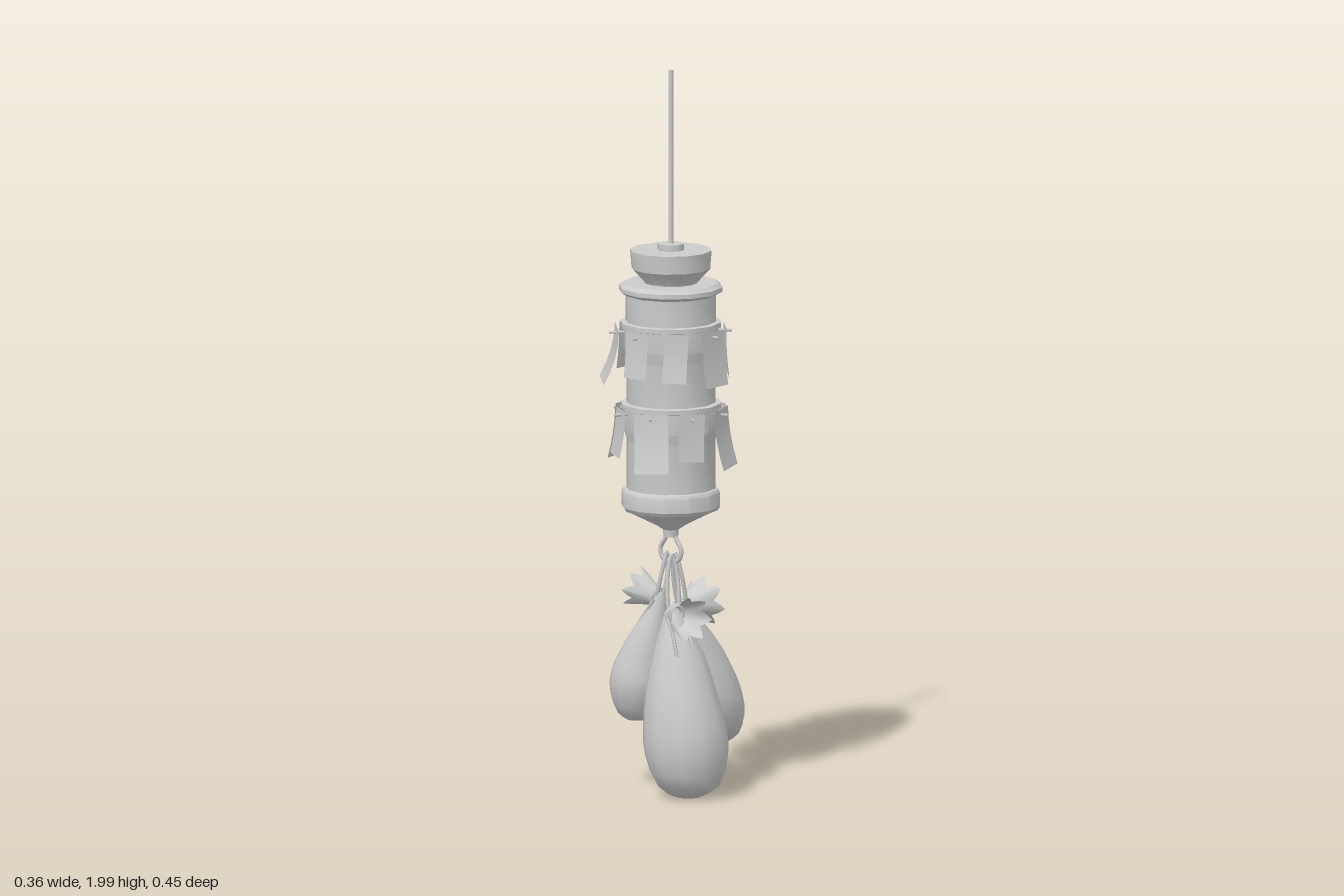
import * as THREE from 'three';
import { toCreasedNormals } from 'three/addons/utils/BufferGeometryUtils.js';

const AXIS_Z = 0.05; // the lantern-shaped body hangs a little forward of centre
const mat = new THREE.MeshStandardMaterial({ color: 0xcccccc });
const thin = new THREE.MeshStandardMaterial({ color: 0xcccccc, side: THREE.DoubleSide });
const vec = (a) => new THREE.Vector3(...a);

function add(parent, name, geometry, material = mat) {
  const mesh = new THREE.Mesh(geometry, material);
  mesh.name = name;
  parent.add(mesh);
  return mesh;
}

// profile points run from bottom to top as [radius, y]
function lathe(points, sides = 12) {
  const g = new THREE.LatheGeometry(points.map((p) => new THREE.Vector2(...p)), sides);
  return toCreasedNormals(g, 0.56);
}

function rope(points, radius, closed = false, segments = 16) {
  const curve = new THREE.CatmullRomCurve3(points.map(vec), closed, 'centripetal');
  return new THREE.TubeGeometry(curve, segments, radius, 6, closed);
}

// rings are [y, radius, centreX, centreZ] from bottom to top
function sack(rings) {
  const curve = new THREE.SplineCurve(rings.map(([y, r]) => new THREE.Vector2(r, y)));
  const profile = [new THREE.Vector2(0, rings[0][0]), ...curve.getPoints(14)];
  const g = new THREE.LatheGeometry(profile, 12);
  const p = g.attributes.position;
  for (let i = 0; i < p.count; i++) {
    const y = p.getY(i);
    let k = 0;
    while (k < rings.length - 2 && y > rings[k + 1][0]) k++;
    const [a, b] = [rings[k], rings[k + 1]];
    const t = THREE.MathUtils.clamp((y - a[0]) / (b[0] - a[0]), 0, 1);
    p.setX(i, p.getX(i) + THREE.MathUtils.lerp(a[2], b[2], t));
    p.setZ(i, p.getZ(i) + THREE.MathUtils.lerp(a[3], b[3], t));
  }
  return toCreasedNormals(g, 1.2);
}

// pleated cloth collar opening along +y
function frill(length, radius) {
  const g = new THREE.CylinderGeometry(radius, 0.02, length, 28, 3, true);
  g.translate(0, length / 2, 0);
  const p = g.attributes.position;
  for (let i = 0; i < p.count; i++) {
    const x = p.getX(i), z = p.getZ(i), t = p.getY(i) / length;
    const wave = Math.cos(Math.atan2(x, z) * 7);
    const s = 1 + 0.16 * t * wave;
    p.setXYZ(i, x * s, p.getY(i) + 0.012 * t * wave, z * s);
  }
  g.computeVertexNormals();
  return g;
}

// hanging sheet, pinned at its top edge and curling outwards
function sheet(w, h, curl) {
  const g = new THREE.PlaneGeometry(w, h, 1, 4);
  g.translate(0, -h / 2 + 0.015, 0);
  const p = g.attributes.position;
  for (let i = 0; i < p.count; i++) {
    const t = (0.015 - p.getY(i)) / h;
    p.setZ(i, curl * t * t);
  }
  g.computeVertexNormals();
  return g;
}

function createTagRow(name, y, startAngle, tags) {
  const row = new THREE.Group();
  row.name = name;
  tags.forEach(([w, h, roll, curl], i) => {
    const holder = new THREE.Group();
    holder.name = 'pinnedSheet';
    holder.rotation.y = THREE.MathUtils.degToRad(startAngle + i * 45);
    holder.position.set(0, y, AXIS_Z);
    const peg = add(holder, 'peg', new THREE.CylinderGeometry(0.004, 0.004, 0.045, 6));
    peg.rotation.x = Math.PI / 2;
    peg.position.z = 0.144;
    const paper = add(holder, 'sheet', sheet(w, h, curl), thin);
    paper.position.z = 0.147;
    paper.rotation.z = roll;
    row.add(holder);
  });
  return row;
}

export function createModel() {
  const model = new THREE.Group();
  model.name = 'hangingBundle';

  // suspension cord and its knob
  const cord = add(model, 'cord', new THREE.CylinderGeometry(0.007, 0.007, 0.49, 8));
  cord.position.set(0, 1.755, AXIS_Z);
  const knob = add(model, 'knob', new THREE.CylinderGeometry(0.037, 0.037, 0.025, 8));
  knob.geometry.rotateY(Math.PI / 8);
  knob.position.set(0, 1.51, AXIS_Z);

  // flared cap
  add(model, 'cap', lathe([
    [0, 1.4], [0.07, 1.4], [0.074, 1.418], [0.108, 1.455], [0.112, 1.505], [0, 1.505],
  ])).position.z = AXIS_Z;

  // barrel with stepped bands and a pointed foot
  add(model, 'barrel', lathe([
    [0, 0.715], [0.02, 0.715], [0.022, 0.735], [0.04, 0.747], [0.118, 0.787],
    [0.128, 0.79], [0.135, 0.8], [0.135, 0.84], [0.13, 0.848], [0.122, 0.85],
    [0.122, 0.985], [0.131, 1.015], [0.131, 1.07], [0.138, 1.072], [0.138, 1.085], [0.122, 1.087],
    [0.122, 1.205], [0.131, 1.238], [0.131, 1.293], [0.138, 1.295], [0.138, 1.308], [0.124, 1.31],
    [0.124, 1.383], [0.142, 1.393], [0.142, 1.405], [0.13, 1.415], [0, 1.415],
  ])).position.z = AXIS_Z;

  // pinned sheets: width, height, roll, outward curl
  model.add(createTagRow('upperSheets', 1.28, 0, [
    [0.075, 0.125, 0, 0.01], [0.065, 0.13, -0.08, 0.02], [0.095, 0.15, 0, 0.015],
    [0.075, 0.14, 0.08, 0.01], [0.11, 0.15, -0.05, 0.015], [0.07, 0.12, 0.06, 0.01],
    [0.08, 0.13, 0, 0.01], [0.105, 0.15, -0.1, 0.04],
  ]));
  model.add(createTagRow('lowerSheets', 1.06, 17, [
    [0.1, 0.16, 0.08, 0.025], [0.075, 0.13, -0.06, 0.01], [0.1, 0.16, 0.05, 0.025],
    [0.075, 0.13, 0, 0.02], [0.075, 0.12, 0.04, 0.015], [0.08, 0.14, -0.06, 0.01],
    [0.075, 0.15, 0.05, 0.02], [0.065, 0.13, -0.12, 0.012],
  ]));

  // twin-armed hook below the foot
  for (const s of [-1, 1]) {
    add(model, 'hookArm', rope([
      [s * 0.01, 0.735, 0.05], [s * 0.018, 0.71, 0.05], [s * 0.036, 0.68, 0.05],
      [s * 0.03, 0.655, 0.05], [s * 0.012, 0.645, 0.05],
    ], 0.006));
  }

  // tied sacks: rings, neck position, frill direction, frill length and radius
  const sacks = [
    {
      name: 'largeSack', neck: [0.03, 0.51, 0.075], dir: [1, -0.05, 0.4], size: [0.085, 0.056],
      rings: [[0.008, 0.035, 0.07, 0.062], [0.04, 0.086, 0.07, 0.062], [0.12, 0.114, 0.065, 0.063],
        [0.2, 0.115, 0.06, 0.063], [0.3, 0.097, 0.047, 0.065], [0.4, 0.07, 0.035, 0.06],
        [0.49, 0.032, 0.024, 0.066], [0.52, 0.018, 0.02, 0.068]],
    },
    {
      name: 'backSack', neck: [0, 0.51, 0], dir: [0.05, 0.1, -1], size: [0.085, 0.06],
      rings: [[0.12, 0.035, -0.01, -0.155], [0.15, 0.075, -0.01, -0.142], [0.22, 0.102, -0.01, -0.12],
        [0.3, 0.097, -0.01, -0.1], [0.4, 0.068, -0.005, -0.065], [0.49, 0.032, 0, -0.015],
        [0.53, 0.018, 0, 0.01]],
    },
    {
      name: 'smallSack', neck: [-0.04, 0.54, 0.05], dir: [-1, 0.3, 0.05], size: [0.075, 0.05],
      rings: [[0.2, 0.03, -0.11, 0.058], [0.225, 0.058, -0.112, 0.058], [0.29, 0.081, -0.104, 0.058],
        [0.35, 0.076, -0.098, 0.058], [0.43, 0.055, -0.075, 0.056], [0.51, 0.028, -0.045, 0.052],
        [0.56, 0.016, -0.03, 0.05]],
    },
  ];
  for (const { name, neck, dir, size, rings } of sacks) {
    const group = new THREE.Group();
    group.name = name;
    add(group, 'bag', sack(rings));

    const out = vec(dir).normalize();
    const collar = add(group, 'frill', frill(...size), thin);
    collar.position.copy(vec(neck));
    collar.quaternion.setFromUnitVectors(new THREE.Vector3(0, 1, 0), out);

    // binding cord around the frill's neck
    const knot = add(group, 'binding', new THREE.TorusGeometry(0.023, 0.007, 6, 12));
    knot.position.copy(vec(neck)).addScaledVector(out, 0.01);
    knot.quaternion.setFromUnitVectors(new THREE.Vector3(0, 0, 1), out);

    // loop over the hook and two loose cord ends
    const [x, y, z] = neck;
    const side = [-out.z * 0.016, out.x * 0.016];
    add(group, 'loop', rope([
      [x + side[0] * 0.6, y, z + side[1] * 0.6],
      [x * 0.6 + side[0], 0.6, 0.05 + (z - 0.05) * 0.6 + side[1]],
      [x * 0.35, 0.668, 0.05 + (z - 0.05) * 0.35],
      [x * 0.6 - side[0], 0.6, 0.05 + (z - 0.05) * 0.6 - side[1]],
      [x - side[0] * 0.6, y, z - side[1] * 0.6],
    ], 0.006, true, 28));
    for (const s of [-1, 1]) {
      const [ex, ez] = [x + s * side[0] * 1.5, z + s * side[1] * 1.5];
      add(group, 'cordEnd', rope([
        [ex, y, ez],
        [ex + out.x * 0.035, y - 0.045, ez + out.z * 0.035],
        [ex + out.x * 0.06, y - 0.095 - s * 0.015, ez + out.z * 0.06],
      ], 0.005, false, 6));
    }
    model.add(group);
  }
  return model;
}
